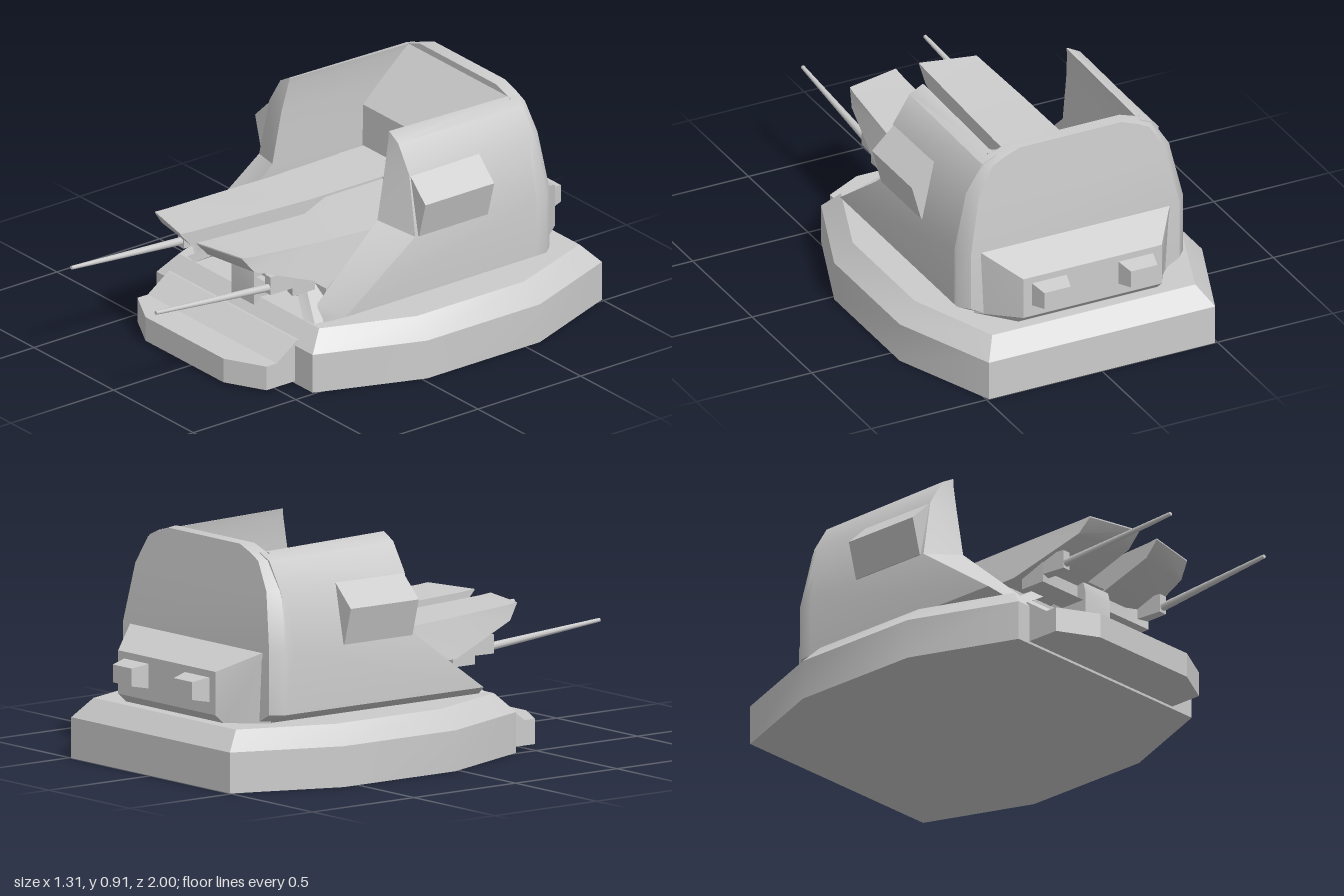
import * as THREE from 'three';
import { toCreasedNormals } from 'three/addons/utils/BufferGeometryUtils.js';

const material = new THREE.MeshStandardMaterial({ color: 0xcccccc, side: THREE.DoubleSide });

// Closed solid through rings of [x, y, z] points, capped at both ends, facing outward
function loft(rings, crease = 0.55) {
  const n = rings[0].length;
  const tris = [];
  const quad = (a, b, c, d) => tris.push([a, b, c], [a, c, d]);
  for (let r = 0; r < rings.length - 1; r++) {
    const a = rings[r], b = rings[r + 1];
    for (let i = 0; i < n; i++) {
      const j = (i + 1) % n;
      quad(a[i], a[j], b[j], b[i]);
    }
  }
  const first = rings[0], last = rings[rings.length - 1];
  for (let i = 0; i < n / 2 - 1; i++) {
    quad(first[n - 1 - i], first[n - 2 - i], first[i + 1], first[i]);
    quad(last[i], last[i + 1], last[n - 2 - i], last[n - 1 - i]);
  }
  const v = (p) => new THREE.Vector3(...p);
  let volume = 0;
  for (const [a, b, c] of tris) volume += v(a).dot(v(b).cross(v(c)));
  const flat = tris.flatMap(([a, b, c]) => (volume < 0 ? [a, c, b] : [a, b, c])).flat();
  const geometry = new THREE.BufferGeometry();
  geometry.setAttribute('position', new THREE.Float32BufferAttribute(flat, 3));
  geometry.computeVertexNormals();
  return toCreasedNormals(geometry, crease);
}

// Side profile of [z, y] points carried from x0 to x1
const slab = (profile, x0, x1) => loft([x0, x1].map((x) => profile.map(([z, y]) => [x, y, z])));

// Plan outline of [x, z] points at height y
const plan = (points, y) => points.map(([x, z]) => [x, y, z]);

const mirrorRing = (ring) => ring.map(([x, y, z]) => [-x, y, z]);

// Rectangle ring facing along z
const rect = (x0, x1, y0, y1, z) => [[x0, y0, z], [x1, y0, z], [x1, y1, z], [x0, y1, z]];

export function createModel() {
  const model = new THREE.Group();
  const add = (name, geometry) => {
    const mesh = new THREE.Mesh(geometry, material);
    mesh.name = name;
    model.add(mesh);
    return mesh;
  };
  const addPair = (name, rings) => {
    add(name + 'Left', loft(rings));
    add(name + 'Right', loft(rings.map(mirrorRing)));
  };

  // Eight-sided base with a bevelled rim
  const octagon = (w, wEnd, zs) => [
    [wEnd, zs[0]], [w, zs[1]], [w, zs[2]], [wEnd, zs[3]],
    [-wEnd, zs[3]], [-w, zs[2]], [-w, zs[1]], [-wEnd, zs[0]],
  ];
  const baseEdge = octagon(0.655, 0.49, [0.41, -0.02, -0.57, -1]);
  const baseTop = octagon(0.58, 0.44, [0.34, -0.03, -0.55, -0.93]);
  add('base', loft([plan(baseEdge, 0), plan(baseEdge, 0.16), plan(baseTop, 0.235)], 0.45));

  // Front step and the ramp behind it
  const step = [[-0.43, 0.3], [-0.43, 0.55], [-0.27, 0.635], [0.22, 0.635], [0.38, 0.55], [0.38, 0.3]];
  add('frontStep', loft([plan(step, 0.01), plan(step, 0.11)], 0.45));
  add('stepRamp', slab([[0.3, 0.05], [0.5, 0.05], [0.5, 0.11], [0.4, 0.18], [0.3, 0.18]], -0.43, 0.38));

  // Thick side walls, stacked as sections: outer front, outer back, inner back, inner front
  // [outer x, inner x, front y, back y, outer front z, inner front y, inner front z]
  const wallSections = [
    [0.41, 0.36, 0.235, 0.235, 0.29, 0.235, 0.29],
    [0.49, 0.34, 0.275, 0.275, 0.25, 0.285, 0.27],
    [0.49, 0.33, 0.52, 0.52, -0.09, 0.55, -0.03],
    [0.44, 0.325, 0.76, 0.75, -0.1, 0.76, -0.07],
    [0.37, 0.315, 0.87, 0.86, -0.1, 0.87, -0.095],
    [0.315, 0.31, 0.9, 0.885, -0.1, 0.9, -0.1],
  ];
  addPair('sideWall', wallSections.map(([xo, xi, yf, yb, zf, yi, zi]) => [
    [xo, yf, zf], [xo, yb, -0.71], [xi, yb, -0.71], [xi, yi, zi],
  ]));

  // Arched rear wall, with its corners rounded into a leaning back face
  const half = wallSections.map((s) => [s[0], s[3]]).concat([[0.24, 0.91]]);
  const arch = half.concat(half.map(([x, y]) => [-x, y]).reverse());
  const archRing = (scale, z) => arch.map(([x, y]) => [x * scale, y, z(y)]);
  const lean = (y) => -0.775 + Math.max(0, y - 0.52) * 0.1;
  add('rearWall', loft([
    archRing(1, () => -0.68),
    archRing(1, (y) => lean(y) + 0.045),
    archRing(0.92, lean),
  ], 0.8));

  // Sloped backrest inside the opening
  add('backrest', slab([[-0.47, 0.24], [-0.47, 0.68], [-0.68, 0.885], [-0.7, 0.24]], -0.33, 0.33));

  // Inner hull and the stepped spine that runs through the slot
  add('innerHull', slab([[-0.6, 0.235], [-0.6, 0.42], [0.12, 0.4], [0.22, 0.33], [0.22, 0.235]], -0.33, 0.33));
  add('deck', slab([[-0.5, 0.4], [-0.5, 0.508], [-0.35, 0.508], [-0.35, 0.4]], -0.325, 0.325));
  add('spine', slab([[-0.4, 0.3], [-0.4, 0.5], [-0.07, 0.5], [0.14, 0.41], [0.25, 0.4], [0.25, 0.3]], -0.055, 0.055));
  add('spineFoot', slab([[0.2, 0.21], [0.2, 0.4], [0.36, 0.4], [0.37, 0.36], [0.37, 0.21]], -0.07, 0.07));

  // Long forward prongs with undercut tips
  // [z inner, z outer, outer x top, outer x bottom, top y, bottom y]
  const prongSections = [
    [-0.47, -0.47, 0.325, 0.33, 0.508, 0.38],
    [0, 0, 0.31, 0.34, 0.51, 0.36],
    [0.24, 0.24, 0.3, 0.335, 0.52, 0.365],
    [0.58, 0.54, 0.28, 0.29, 0.535, 0.475],
    [0.635, 0.585, 0.275, 0.275, 0.54, 0.535],
  ];
  addPair('prong', prongSections.map(([zi, zo, xt, xb, yt, yb]) => [
    [0.05, yt, zi], [xt, yt, zo], [xb, yb, zo], [0.05, yb, zi],
  ]));

  // Cross bar carrying the guns
  const bar = [[-0.3, 0.25], [-0.3, 0.36], [-0.2, 0.33], [0.2, 0.33], [0.3, 0.36], [0.3, 0.25]];
  add('gunBar', loft([plan(bar, 0.325), plan(bar, 0.41)]));

  // Slanted struts below the bar
  addPair('strut', [
    [[0.4, 0.235, 0.33], [0.34, 0.235, 0.34], [0.34, 0.235, 0.26], [0.4, 0.235, 0.25]],
    [[0.25, 0.335, 0.26], [0.18, 0.335, 0.26], [0.18, 0.335, 0.18], [0.25, 0.335, 0.18]],
  ]);

  // Gun mounts and thin tapered barrels
  for (const side of [1, -1]) {
    const tag = side > 0 ? 'Left' : 'Right';
    add('gunMount' + tag, loft([
      rect(side * 0.25, side * 0.3, 0.36, 0.44, 0.3),
      rect(side * 0.255, side * 0.29, 0.355, 0.43, 0.46),
    ]));
    const start = new THREE.Vector3(side * 0.275, 0.378, 0.42);
    const end = new THREE.Vector3(side * 0.265, 0.422, 1);
    const along = end.clone().sub(start);
    const barrel = add('barrel' + tag, new THREE.CylinderGeometry(0.008, 0.017, along.length(), 8));
    barrel.position.copy(start).add(end).multiplyScalar(0.5);
    barrel.quaternion.setFromUnitVectors(new THREE.Vector3(0, 1, 0), along.normalize());
  }

  // Wedge-shaped pods on the outer sides
  addPair('sidePod', [-0.105, -0.44].map((z) => [
    [0.48, 0.52, z], [0.495, 0.52, z], [0.535, 0.665, z], [0.435, 0.76, z],
  ]));

  // Tapered rear housing with two lamp boxes
  const rearSection = (x, x2) => [[x, 0.235, -0.74], [x, 0.52, -0.76], [x2, 0.44, -0.92], [x2, 0.27, -0.92], [x2, 0.235, -0.88]];
  add('rearHousing', loft([rearSection(-0.42, -0.3), rearSection(0.42, 0.3)]));
  addPair('rearLamp', [rect(0.11, 0.265, 0.315, 0.415, -0.91), rect(0.13, 0.245, 0.33, 0.4, -0.99)]);

  return model;
}
